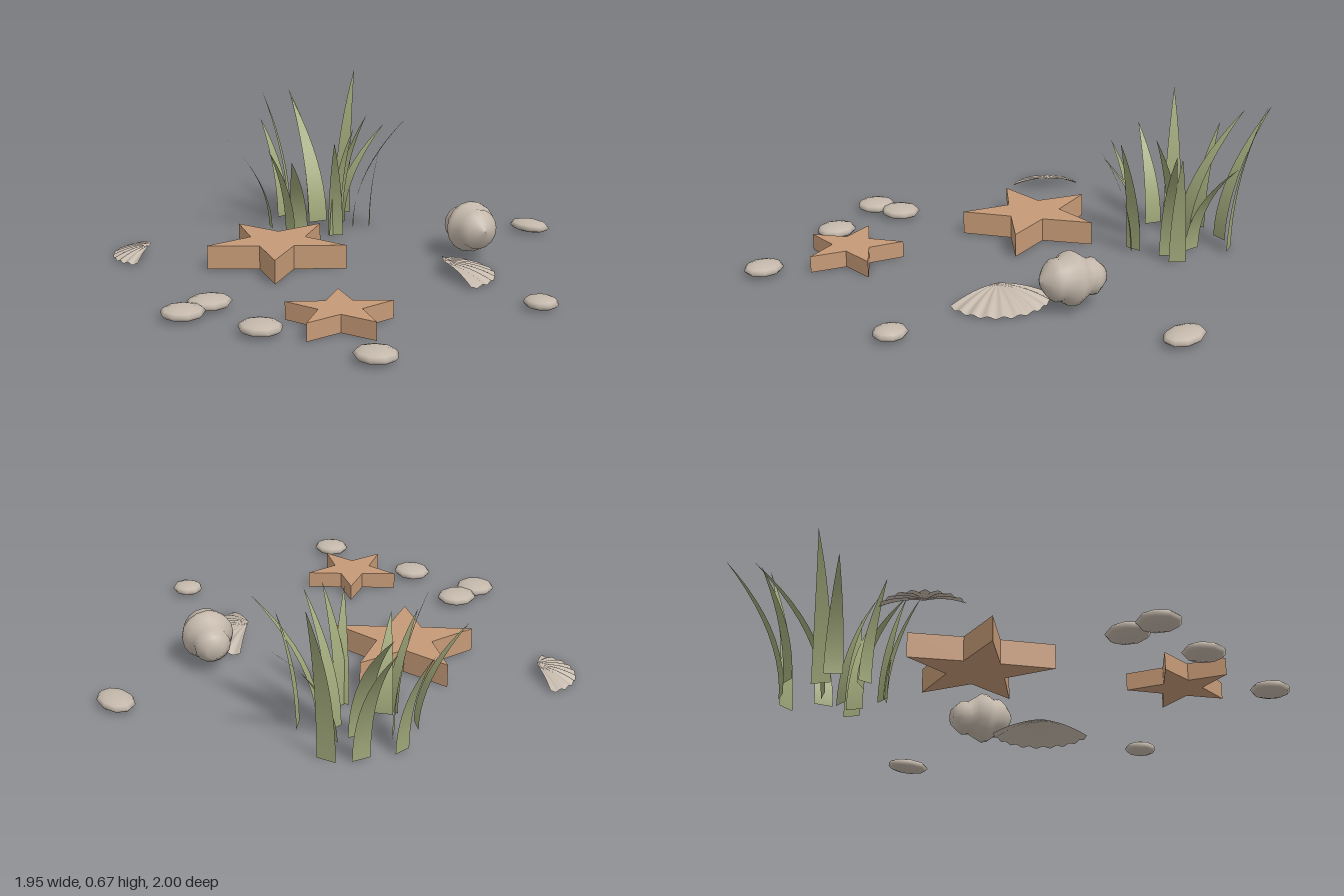
import * as THREE from 'three';
import { ParametricGeometry } from 'three/addons/geometries/ParametricGeometry.js';

const material = (name, color, side = THREE.FrontSide) => {
  const m = new THREE.MeshStandardMaterial({ color, side });
  m.name = name;
  return m;
};

export function createModel() {
  const model = new THREE.Group();
  model.name = 'seabed';
  const orange = material('starfish orange', 0xc69a77);
  const stone = material('stone beige', 0xc4b8ab, THREE.DoubleSide);
  const green = material('seagrass green', 0xa0a87a, THREE.DoubleSide);

  const add = (name, geometry, mat, x = 0, y = 0, z = 0, parent = model) => {
    const mesh = new THREE.Mesh(geometry, mat);
    mesh.name = name;
    mesh.position.set(x, y, z);
    parent.add(mesh);
    return mesh;
  };

  // Starfish: extruded five-pointed stars lying flat
  const starfish = (x, z, radius, height, startAngle) => {
    const points = [];
    for (let i = 0; i < 10; i++) {
      const a = THREE.MathUtils.degToRad(startAngle + i * 36);
      const r = i % 2 ? radius * 0.4 : radius;
      points.push(new THREE.Vector2(Math.cos(a) * r, Math.sin(a) * r));
    }
    const geometry = new THREE.ExtrudeGeometry(new THREE.Shape(points), { depth: height, bevelEnabled: false });
    geometry.rotateX(-Math.PI / 2);
    add('starfish', geometry, orange, x, 0, z);
  };
  starfish(-0.215, 0.215, 0.3, 0.1, 30.5);
  starfish(0.53, 0.537, 0.21, 0.07, -4);

  // Pebbles: low, squashed spheres [x, z, half width, half depth]
  const pebbles = [
    [0.18, -0.935, 0.1, 0.068], [0.905, -0.14, 0.07, 0.065], [0.875, 0.685, 0.084, 0.077],
    [0.405, 0.805, 0.088, 0.08], [0.062, 0.775, 0.083, 0.09], [0.087, 0.915, 0.086, 0.085],
  ];
  for (const [x, z, rx, rz] of pebbles) {
    add('pebble', new THREE.SphereGeometry(1, 9, 6), stone, x, 0.025, z).scale.set(rx, 0.026, rz);
  }

  // Spiral shell: ridged lathe lying on its side
  const profile = [
    [0, 0], [0.035, 0], [0.055, 0.022], [0.074, 0.045], [0.072, 0.075], [0.09, 0.105], [0.108, 0.135],
    [0.104, 0.16], [0.084, 0.187], [0.084, 0.215], [0.062, 0.24], [0.03, 0.262], [0, 0.275],
  ].map(([r, t]) => new THREE.Vector2(r, t - 0.14));
  const spiral = add('spiralShell', new THREE.LatheGeometry(profile, 16), stone, 0.262, 0.128, -0.448);
  spiral.rotation.set(0, -0.35, -Math.PI / 2 + 0.08, 'YXZ');

  // Fan shells: shallow ribbed dome sectors
  const fanShell = (x, z, radius, middle, height) => {
    const span = THREE.MathUtils.degToRad(150);
    const start = THREE.MathUtils.degToRad(middle) - span / 2;
    const geometry = new ParametricGeometry((u, v, p) => {
      const a = start + (1 - u) * span;
      const rib = 0.005 * v * Math.cos(u * Math.PI * 18);
      p.set(Math.cos(a) * radius * v, height * (1 - v * v) + 0.005 + rib, Math.sin(a) * radius * v);
    }, 54, 8);
    add('fanShell', geometry, stone, x, 0, z);
  };
  fanShell(0.375, -0.165, 0.21, -60, 0.053);
  fanShell(-0.66, 0.545, 0.16, 130, 0.042);

  // Seagrass: tapered blades bending outward [base x, base z, tip x, tip z, height, width]
  const blades = [
    [-0.72, -0.43, -0.98, -0.49, 0.555, 0.075], [-0.585, -0.33, -0.88, -0.42, 0.545, 0.09],
    [-0.77, -0.275, -0.92, -0.265, 0.45, 0.07], [-0.645, -0.535, -0.7, -0.665, 0.665, 0.08],
    [-0.535, -0.42, -0.5, -0.67, 0.43, 0.08], [-0.485, -0.365, -0.315, -0.385, 0.535, 0.065],
    [-0.41, -0.39, -0.225, -0.565, 0.525, 0.07], [-0.38, -0.465, -0.32, -0.52, 0.48, 0.07],
    [-0.365, -0.24, -0.255, -0.25, 0.5, 0.07], [-0.355, -0.235, -0.255, -0.14, 0.45, 0.065],
    [-0.655, -0.22, -0.745, -0.137, 0.62, 0.08], [-0.66, -0.11, -0.75, 0.063, 0.42, 0.075],
    [-0.515, -0.155, -0.4, -0.02, 0.36, 0.08], [-0.52, -0.11, -0.51, 0.02, 0.4, 0.06],
  ];
  const seagrass = new THREE.Group();
  seagrass.name = 'seagrass';
  model.add(seagrass);
  for (const [bx, bz, tx, tz, height, width] of blades) {
    const dx = tx - bx, dz = tz - bz, length = Math.hypot(dx, dz);
    const geometry = new ParametricGeometry((u, t, p) => {
      const side = (0.5 - u) * width * (1 - t * t);
      p.set(dx * t * t - (dz / length) * side, height * t, dz * t * t + (dx / length) * side);
    }, 1, 10);
    add('grassBlade', geometry, green, bx, 0, bz, seagrass);
  }

  return model;
}
